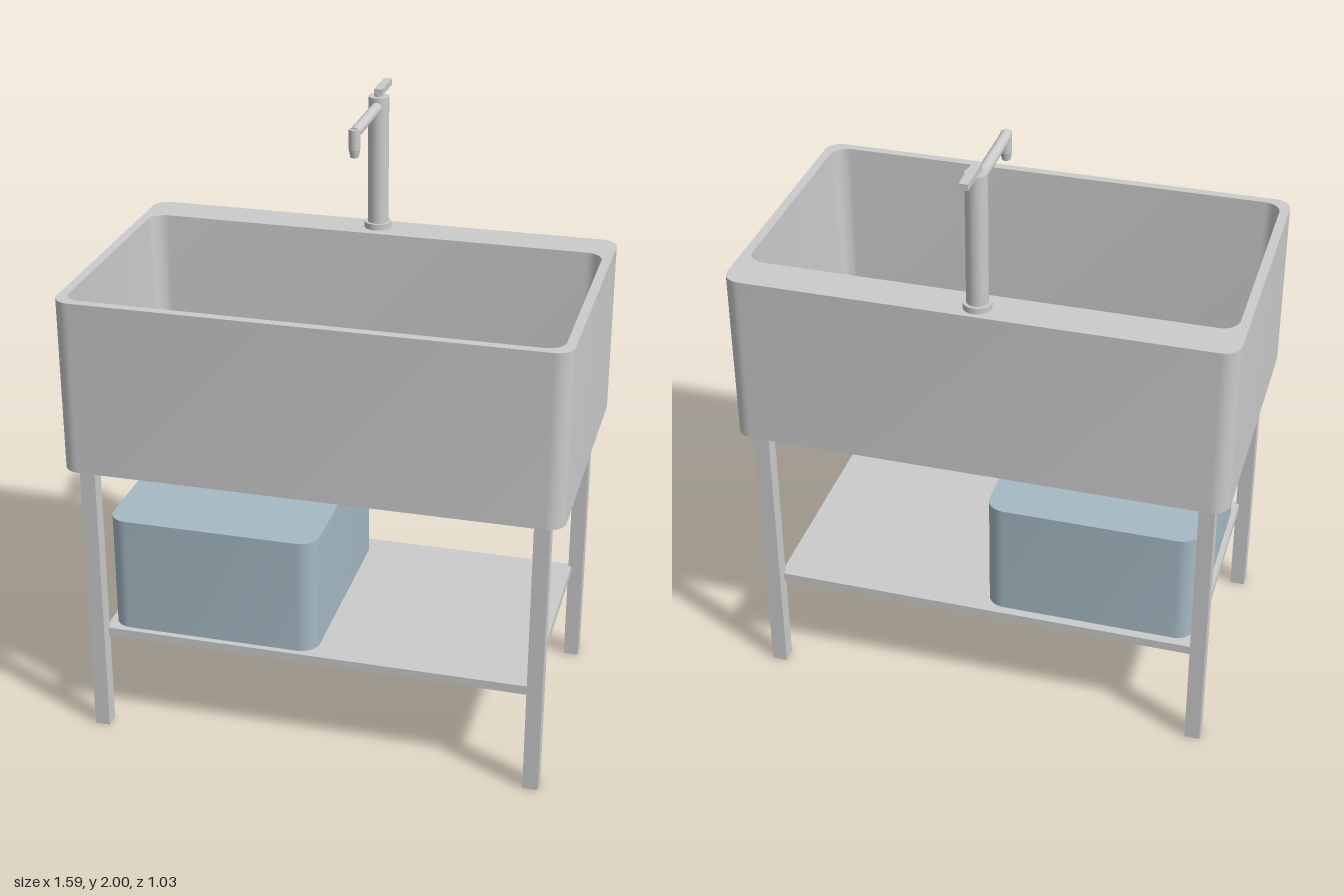
import * as THREE from 'three';
import { toCreasedNormals } from 'three/addons/utils/BufferGeometryUtils.js';

const grey = new THREE.MeshStandardMaterial({ color: 0xcccccc });
const blue = new THREE.MeshStandardMaterial({ color: 0xa6bac5 });

function add(parent, name, geometry, x = 0, y = 0, z = 0, material = grey) {
  const mesh = new THREE.Mesh(geometry, material);
  mesh.name = name;
  mesh.position.set(x, y, z);
  parent.add(mesh);
  return mesh;
}

// Box given by its limits on each axis
function addBox(parent, name, [x0, x1], [y0, y1], [z0, z1]) {
  const geometry = new THREE.BoxGeometry(x1 - x0, y1 - y0, z1 - z0);
  return add(parent, name, geometry, (x0 + x1) / 2, (y0 + y1) / 2, (z0 + z1) / 2);
}

// Rounded rectangle in the xz plane, as a loop of points at height y
function ring(y, [x0, x1], [z0, z1], r, steps = 8) {
  const points = [];
  for (let corner = 0; corner < 4; corner++) {
    const cx = corner === 0 || corner === 3 ? x1 - r : x0 + r;
    const cz = corner < 2 ? z1 - r : z0 + r;
    for (let i = 0; i <= steps; i++) {
      const a = (corner + i / steps) * Math.PI / 2;
      points.push([cx + r * Math.cos(a), y, cz + r * Math.sin(a)]);
    }
  }
  return points;
}

// Skin over successive rings, each end closed by a fan to its centre
function loft(rings) {
  const centre = (loop) => {
    const sum = loop.reduce((s, p) => [s[0] + p[0], s[1] + p[1], s[2] + p[2]], [0, 0, 0]);
    return loop.map(() => sum.map((v) => v / loop.length));
  };
  const all = [centre(rings[0]), ...rings, centre(rings[rings.length - 1])];
  const n = rings[0].length;
  const index = [];
  for (let k = 0; k < all.length - 1; k++) {
    for (let i = 0; i < n; i++) {
      const j = (i + 1) % n;
      const a = k * n + i, b = k * n + j, c = a + n, d = b + n;
      if (k > 0) index.push(a, c, b);
      if (k < all.length - 2) index.push(c, d, b);
    }
  }
  const geometry = new THREE.BufferGeometry();
  geometry.setAttribute('position', new THREE.Float32BufferAttribute(all.flat(2), 3));
  geometry.setIndex(index);
  return toCreasedNormals(geometry, 0.6);
}

export function createModel() {
  const model = new THREE.Group();
  model.name = 'utilitySink';

  // Deep basin with slightly tapered inner walls and a wide back ledge
  const outerX = [-0.795, 0.795], outerZ = [-0.455, 0.515];
  add(model, 'basin', loft([
    ring(0.96, outerX, outerZ, 0.055),
    ring(1.53, outerX, outerZ, 0.055),
    ring(1.53, [-0.765, 0.765], [-0.32, 0.485], 0.055),
    ring(1.0, [-0.748, 0.748], [-0.303, 0.472], 0.045),
  ]));

  // Stand: four square legs and a low shelf
  const stand = new THREE.Group();
  stand.name = 'stand';
  model.add(stand);
  for (const side of [-1, 1]) {
    const x = [side * 0.725 - 0.025, side * 0.725 + 0.025];
    addBox(stand, 'frontLeg', x, [0, 0.96], [0.425, 0.475]);
    addBox(stand, 'backLeg', x, [0, 0.96], [-0.41, -0.36]);
  }
  addBox(stand, 'shelf', [-0.71, 0.71], [0.325, 0.355], [-0.375, 0.435]);

  // Closed storage box on the shelf
  const boxX = [-0.692, 0], boxZ = [-0.345, 0.415];
  add(model, 'storageBox', loft([
    ring(0.355, boxX, boxZ, 0.06),
    ring(0.748, boxX, boxZ, 0.06),
  ]), 0, 0, 0, blue);

  // Tap on the back ledge
  const tap = new THREE.Group();
  tap.name = 'tap';
  tap.position.z = -0.395;
  model.add(tap);
  const rod = (r, h, top = r) => new THREE.CylinderGeometry(top, r, h, 32);
  add(tap, 'tapBase', rod(0.045, 0.02), 0, 1.54, 0);
  add(tap, 'tapColumn', rod(0.034, 0.445), 0, 1.7525, 0);
  add(tap, 'leverPost', rod(0.015, 0.015), 0, 1.9775, 0);
  addBox(tap, 'lever', [-0.014, 0.014], [1.98, 2.0], [-0.125, 0.012]);
  const spout = add(tap, 'spout', rod(0.018, 0.3), 0, 1.943, 0.165);
  spout.rotation.x = Math.PI / 2;
  add(tap, 'nozzle', rod(0.018, 0.065), 0, 1.9225, 0.313);
  add(tap, 'nozzleTip', rod(0.013, 0.025, 0.018), 0, 1.8775, 0.313);

  return model;
}
